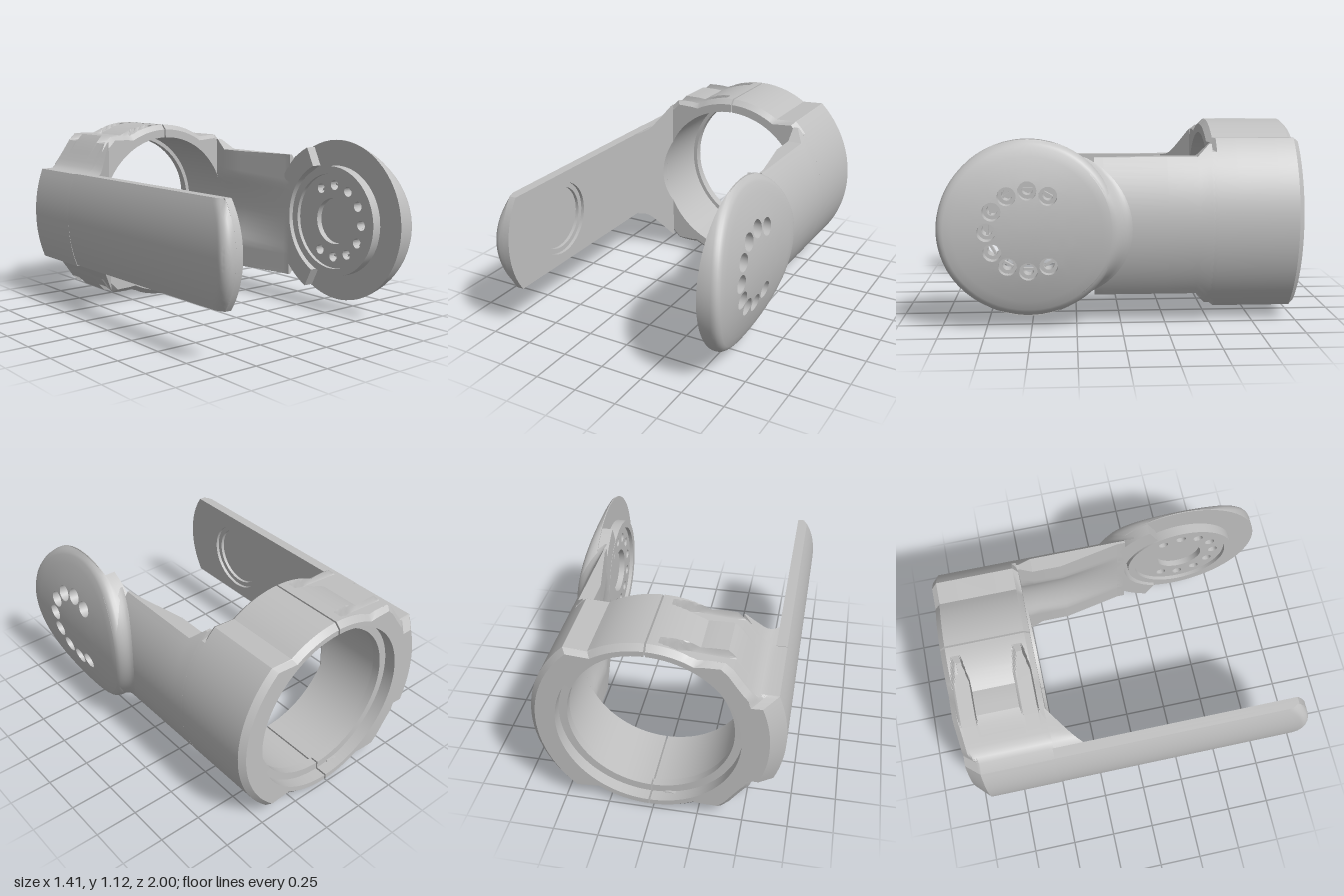
import * as THREE from 'three';
import { toCreasedNormals } from 'three/addons/utils/BufferGeometryUtils.js';

const CY = 0.56, CX = 0.02;            // ring axis
const DY = 0.565, DZ = 0.51, DR = 0.49; // pivot disc centre and radius
const grey = new THREE.MeshStandardMaterial({ color: 0xc0c0c0, side: THREE.DoubleSide });
grey.name = 'lightGrey';

const V = (x, y, z) => new THREE.Vector3(x, y, z);
const range = (n, a, b) => Array.from({ length: n + 1 }, (_, i) => a + (b - a) * i / n);
const clamp01 = (t) => Math.min(1, Math.max(0, t));
const arcX = (cx, r, dy) => cx + Math.sqrt(Math.max(0, r * r - dy * dy));
// drop of a rounded edge of radius f at distance e from the rim
const fillet = (e, f) => (e >= f ? 0 : f - Math.sqrt(Math.max(0, f * f - (f - Math.max(0, e)) ** 2)));
const leftDome = (y) => 0.05 - Math.sqrt(0.755 ** 2 - (y - DY) ** 2);
const discDome = (y) => 0.704 - 1.226 + Math.sqrt(1.226 ** 2 - (y - DY) ** 2);

function fromTriangles(pts) {
  return toCreasedNormals(new THREE.BufferGeometry().setFromPoints(pts), 0.45);
}

// quads between neighbouring point rows
function skin(out, rows, closed = true) {
  rows.slice(1).forEach((q, i) => {
    const p = rows[i];
    p.forEach((_, j) => {
      const k = (j + 1) % p.length;
      if (k || closed) out.push(p[j], p[k], q[k], p[j], q[k], q[j]);
    });
  });
}

// closed loops joined in order of z, with end caps
function loft(rings) {
  const out = [];
  skin(out, rings);
  const cap = (r, flip) => THREE.ShapeUtils.triangulateShape(r.map((p) => new THREE.Vector2(p.x, p.y)), [])
    .forEach(([a, b, c]) => out.push(r[a], r[flip ? c : b], r[flip ? b : c]));
  cap(rings[0], true);
  cap(rings[rings.length - 1], false);
  return fromTriangles(out);
}

// plate drawn in (-z, y) and extruded along x
function plateX(shape, x0, x1) {
  const g = new THREE.ExtrudeGeometry(shape, { depth: x1 - x0, bevelEnabled: false, curveSegments: 32 });
  g.rotateY(Math.PI / 2).translate(x0, 0, 0);
  return toCreasedNormals(g, 0.45);
}
const circle = (r, x = -DZ, y = DY, T = THREE.Path) => new T().absarc(x, y, r, 0, Math.PI * 2, false);

// upper outlines of the clamp halves, from the split down to mid height
const rightOutline = [
  ...range(10, 0.025, 0.32).map((x) => [x, CY + Math.sqrt(0.3136 - (x - CX) ** 2)]),
  [0.45, 1.04],
  ...range(12, 0.81, 0).map((a) => [0.006 + 0.654 * Math.cos(a), CY + 0.654 * Math.sin(a)]),
];
const leftOutline = [
  ...range(14, 0.015, -0.24).map((x) => [x, CY + Math.sqrt(0.3136 - (x - CX) ** 2)]),
  [-0.28, 1.06], [-0.33, 1.06], [-0.38, 1.06], [-0.42, 1.02], [-0.465, 0.955], [-0.505, 0.9],
  [-0.53, 0.87], [-0.555, 0.852], [-0.59, 0.845],
  ...range(8, 0.845, CY).map((y) => [leftDome(y), y]),
];
const mirrorY = (pts) => pts.slice(0, -1).reverse().map(([x, y]) => [x, 2 * CY - y]);

const slotZ = [-0.92, -0.58];
const stations = [-1, -0.97, -0.93, -0.929, -0.88, -0.879, -0.53, -0.5,
  ...slotZ.flatMap((c) => range(20, c - 0.058, c + 0.058).filter((z) => z < -0.531))].sort((a, b) => a - b);
const boreRadius = (z) => (z <= -0.93 ? 0.5 : z <= -0.88 ? 0.455 : 0.48);

// screw slots sunk into the top and bottom of the left half
function slotLimit(x, z) {
  if (x > -0.05 || x < -0.43) return 9;
  const w = 0.018 + 0.027 * clamp01((-0.06 - x) / 0.13);
  const d = Math.min(...slotZ.map((c) => Math.abs(z - c))) - w;
  return 0.485 - 0.08 * (-0.06 - x) + Math.max(0, d) / 0.012 * 0.09;
}

function clampHalf(side) {
  const left = side < 0;
  const outline = left ? leftOutline : rightOutline;
  const outer = [...outline, ...mirrorY(outline)];
  if (!left) outer.reverse();
  return loft(stations.map((z) => {
    const ring = outer.map(([x, y]) => {
      const back = Math.max(0, 0.03 + 0.05 * clamp01((-x - 0.53) / 0.06) - (z + 1));
      const front = x < -0.42 || x > 0.5 ? 0 : Math.max(0, 0.03 + z + 0.5);
      const s = 1 - (back + front) / Math.hypot(x - CX, y - CY);
      let dy = (y - CY) * s;
      if (left) dy = Math.sign(dy) * Math.min(Math.abs(dy), slotLimit(x, z));
      return V(Math.abs(x - CX) < 0.01 ? x : CX + (x - CX) * s, CY + dy, z);
    });
    // the bore runs back from the end of the outer outline to its start
    const r = boreRadius(z), a0 = side * (Math.PI / 2 - 0.01);
    const bore = range(48, a0, -a0).map((a) => V(CX + side * r * Math.cos(a), CY + r * Math.sin(a), z));
    return [...ring, ...bore];
  }));
}

// sloping web between the left clamp half and its arm
function armWeb() {
  const top = leftOutline.filter(([x]) => x >= -0.59 && x < -0.41);
  const a0 = Math.acos(0.43 / 0.48);
  const loop = [[-0.41, 1.03], ...top, ...mirrorY([[-0.41, 1.03], ...top, [0, 0]]),
    ...range(20, -a0, a0).map((a) => [CX - 0.48 * Math.cos(a), CY + 0.48 * Math.sin(a)])];
  return loft([
    loop.map(([x, y]) => V(x, y, -0.505)),
    loop.map(([x, y]) => V(x, y, -0.5 + 0.17 * (-0.41 - x) / 0.18)),
  ]);
}

// left arm: domed outside, rounded front end
function leftArmShell() {
  const zs = [-0.505, 0.2, 0.51, ...range(24, 0.3, Math.PI / 2 - 0.03).map((a) => DZ + DR * Math.sin(a))];
  return loft(zs.map((z) => {
    const h = Math.min(0.283, Math.sqrt(DR * DR - Math.max(0, z - DZ) ** 2));
    const outer = range(24, 1, -1).map((t) => {
      const y = DY + t * h;
      const e = z > DZ ? DR - Math.hypot(z - DZ, t * h) : 1;
      return V(Math.min(-0.631, leftDome(y) + fillet(e, 0.05)), y, z);
    });
    return [...outer, V(-0.63, DY - h, z), V(-0.63, DY + h, z)];
  }));
}
function leftArmFace(holeRadius) {
  const a = Math.asin(0.283 / DR), s = new THREE.Shape();
  s.moveTo(0.505, DY - 0.283);
  s.lineTo(0.505, DY + 0.283);
  s.absarc(-DZ, DY, DR, Math.PI - a, Math.PI + a, false);
  s.holes.push(circle(holeRadius));
  return s;
}

// right arm: cylindrical outside, tapering inside
function rightArm() {
  return loft([-0.505, -0.49, -0.42, -0.25, 0.1, 0.15].map((z) => {
    const h = 0.385 + 0.065 * clamp01((-0.42 - z) / 0.07);
    const taper = 0.45 + 0.07 * clamp01((z + 0.25) / 0.35);
    const ys = range(24, -h, h);
    return [
      ...ys.map((d) => V(arcX(0.006, 0.654, d), CY + d, z)),
      ...ys.reverse().map((d) => V(Math.max(taper, arcX(CX, 0.48, d)), CY + d, z)),
    ];
  }));
}

// smooth flare from the right arm up to the disc face
function discFlare() {
  const out = [];
  skin(out, range(8, 0, 1).map((t) => range(32, -0.9, 0.9).map((a) => {
    const rim = 0.49 + 0.075 * Math.cos(a / 0.9 * Math.PI / 2);
    const r = 0.452 + (rim - 0.452) * t, y = DY + r * Math.sin(a);
    const x = THREE.MathUtils.lerp(discDome(y), arcX(0.006, 0.654, y - CY), t * t * (3 - 2 * t));
    return V(x, y, DZ - r * Math.cos(a));
  })), false);
  return fromTriangles(out);
}

// pivot disc: domed face with a partial circle of stepped holes
const CELL = Math.PI / 6;
const cells = range(11, -5, 6);
const hasHole = (k) => Math.abs(k) <= 4;
function pivotDisc() {
  const out = [];
  const at = (r, a, x) => {
    const y = DY + r * Math.sin(a);
    return V(x ?? Math.max(0.59, discDome(y) - fillet(DR - r, 0.04)), y, DZ + r * Math.cos(a));
  };
  const angles = cells.flatMap((k) => [-1, -0.57735, -0.26795, 0, 0.26795, 0.57735].map((v) => (k + v / 2) * CELL));
  const ring = (r, x) => angles.map((a) => at(r, a, x));
  skin(out, [0, 0.06, 0.11, 0.16].map((r) => ring(r)));
  skin(out, [...[0.28, 0.34, 0.4, 0.45, 0.465, 0.478, 0.486, 0.49].map((r) => ring(r)),
    ring(0.49, 0.585), ring(0.28, 0.585)]);
  skin(out, [ring(0.16, 0.585), ring(0, 0.585)]);
  cells.forEach((k) => {
    const loop = (f) => range(23, 0, Math.PI * 2 * 23 / 24).map(f);
    const border = (x) => loop((t) => {
      const m = Math.max(Math.abs(Math.cos(t)), Math.abs(Math.sin(t)));
      return at(0.22 + 0.06 * Math.cos(t) / m, (k + Math.sin(t) / m / 2) * CELL, x);
    });
    const hole = (radius, x) => loop((t) => {
      const r = hasHole(k) ? radius : 0, u = 0.22 + r * Math.cos(t), v = r * Math.sin(t);
      return at(Math.hypot(u, v), k * CELL + Math.atan2(v, u), x);
    });
    skin(out, [border(0.585), hole(0.03, 0.585), hole(0.03, 0.635), hole(0.05, 0.635), hole(0.05), border()]);
  });
  return fromTriangles(out);
}

export function createModel() {
  const model = new THREE.Group();
  model.name = 'clampBracket';
  const add = (name, geometry) => {
    const m = new THREE.Mesh(geometry, grey);
    m.name = name;
    model.add(m);
    return m;
  };

  add('rightClampHalf', clampHalf(-1));
  add('leftClampHalf', clampHalf(1));
  add('plainArmWeb', armWeb());
  add('plainArmShell', leftArmShell());
  add('plainArmRecessStep', plateX(leftArmFace(0.19), -0.632, -0.61));
  add('plainArmInnerFace', plateX(leftArmFace(0.22), -0.61, -0.59));
  add('discArm', rightArm());
  add('discFlare', discFlare());
  add('pivotDisc', pivotDisc());

  // mounting plate hollowed around the boss
  const mount = new THREE.Shape();
  mount.absarc(-DZ, DY, 0.483, -1.12, 1.12, false);
  mount.absarc(-DZ, DY, 0.36, 1.12, -1.12, true);
  add('discMount', plateX(mount, 0.52, 0.586));

  // boss behind the disc
  const rim = circle(0.335, -DZ, DY, THREE.Shape);
  rim.holes.push(circle(0.29));
  add('bossRim', plateX(rim, 0.525, 0.586));
  const boss = circle(0.29, -DZ, DY, THREE.Shape);
  boss.holes.push(circle(0.14));
  cells.filter(hasHole).forEach((k) => {
    const a = k * CELL, z = DZ + 0.22 * Math.cos(a), y = DY + 0.22 * Math.sin(a);
    boss.holes.push(circle(0.03, -z, y));
    // bar across each hole
    const bar = add('holeBar', new THREE.BoxGeometry(0.03, 0.012, 0.058));
    bar.position.set(0.605, y, z);
    bar.rotation.x = Math.PI / 2 - a;
  });
  add('bossFace', plateX(boss, 0.548, 0.586));
  return model;
}
